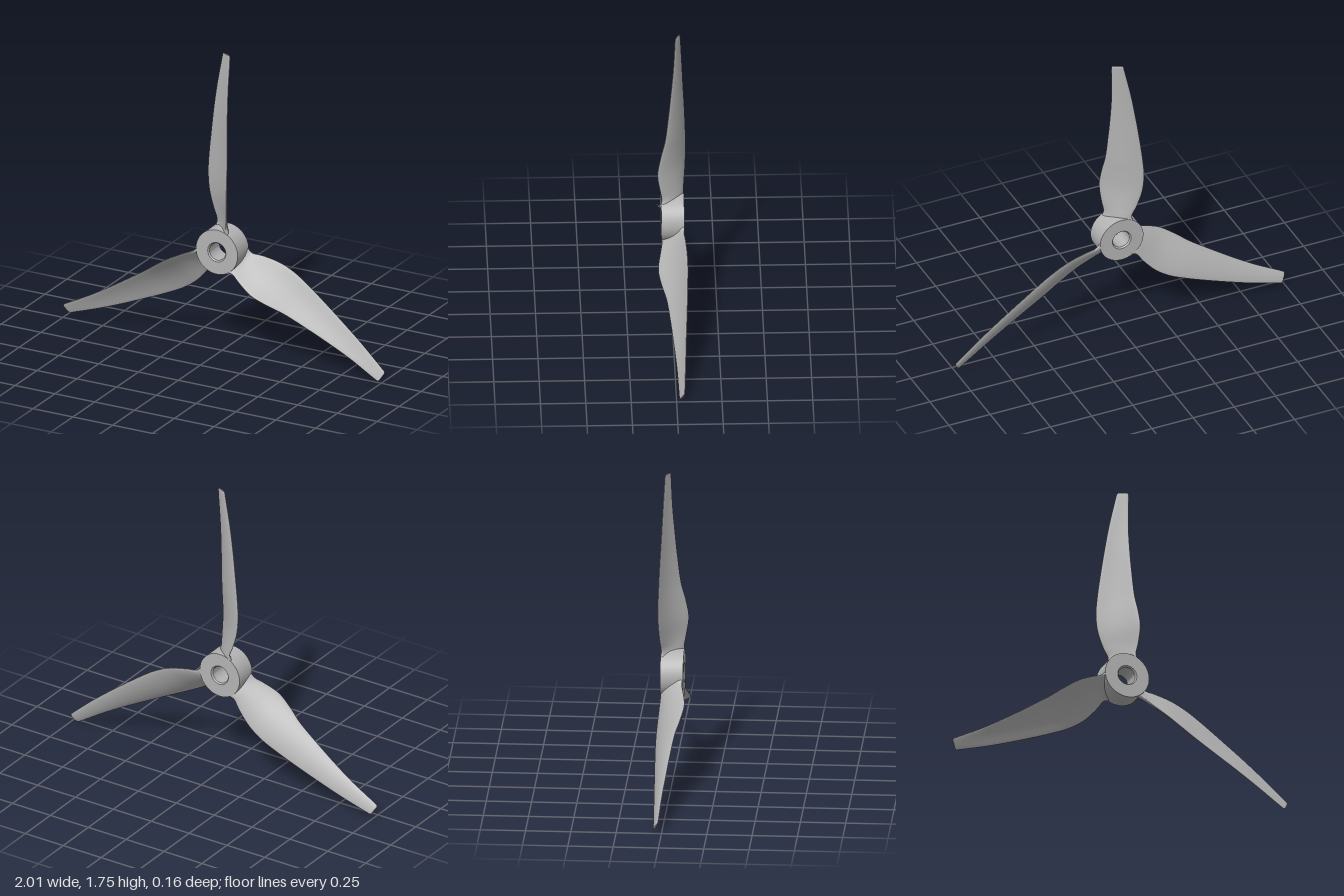
import * as THREE from 'three';
import { toCreasedNormals } from 'three/addons/utils/BufferGeometryUtils.js';

const HUB_Y = 0.607;

// Blade stations: radius, left edge x/z, right edge x/z, thickness, camber
const STATIONS = [
  [0.10, -0.072, -0.064, 0.066, 0.057, 0.045, 0.010],
  [0.14, -0.062, -0.064, 0.055, 0.055, 0.030, 0.012],
  [0.20, -0.088, -0.070, 0.063, 0.066, 0.022, 0.016],
  [0.30, -0.120, -0.077, 0.070, 0.080, 0.019, 0.019],
  [0.40, -0.130, -0.079, 0.064, 0.064, 0.018, 0.018],
  [0.50, -0.124, -0.076, 0.053, 0.039, 0.017, 0.015],
  [0.65, -0.106, -0.070, 0.044, 0.020, 0.015, 0.011],
  [0.80, -0.085, -0.062, 0.037, 0.005, 0.014, 0.008],
  [0.95, -0.060, -0.055, 0.035, -0.008, 0.013, 0.005],
  [1.125, -0.023, -0.046, 0.041, -0.017, 0.012, 0.002],
  [1.139, -0.020, -0.045, 0.040, -0.018, 0.011, 0.002],
  [1.145, -0.013, -0.042, 0.034, -0.021, 0.008, 0.001],
];

// Lofts a cambered, twisted airfoil along the radius (+y)
function bladeGeometry(around = 36, steps = 66) {
  const curve = (f) => new THREE.CatmullRomCurve3(STATIONS.map(f));
  const left = curve((s) => new THREE.Vector3(s[1], s[0], s[2]));
  const right = curve((s) => new THREE.Vector3(s[3], s[0], s[4]));
  const section = curve((s) => new THREE.Vector3(s[5], s[0], s[6]));
  const pos = [], index = [];

  const addRing = (u) => {
    const a = left.getPoint(u), b = right.getPoint(u), c = section.getPoint(u);
    const d = b.clone().sub(a);
    const n = new THREE.Vector3(-d.z, 0, d.x).normalize();
    for (let i = 0; i < around; i++) {
      const t = (i / around) * Math.PI * 2;
      const s = (1 - Math.cos(t)) / 2;
      const half = Math.sign(Math.sin(t)) * Math.abs(Math.sin(t)) ** 0.8 * c.x / 2;
      const p = a.clone().addScaledVector(d, s).addScaledVector(n, half - c.z * 4 * s * (1 - s));
      pos.push(p.x, p.y, p.z);
    }
  };

  for (let j = 0; j <= steps; j++) addRing(j / steps);
  for (let j = 0; j < steps; j++) {
    for (let i = 0; i < around; i++) {
      const k = (i + 1) % around;
      const a = j * around + i, b = j * around + k;
      index.push(a, b, a + around, b, b + around, a + around);
    }
  }
  // Flat tip cap with its own vertices
  const cap = pos.length / 3;
  addRing(1);
  for (let i = 1; i < around - 1; i++) index.push(cap, cap + i, cap + i + 1);

  const geo = new THREE.BufferGeometry();
  geo.setAttribute('position', new THREE.Float32BufferAttribute(pos, 3));
  geo.setIndex(index);
  geo.computeVertexNormals();
  return geo;
}

// Ring-shaped hub with a slightly chamfered bore, axis along z
function hubGeometry() {
  const profile = [
    [0.131, -0.067], [0.131, 0.06], [0.057, 0.06], [0.05, 0.052],
    [0.05, -0.059], [0.057, -0.067], [0.131, -0.067],
  ].map(([r, z]) => new THREE.Vector2(r, z));
  const geo = new THREE.LatheGeometry(profile, 72);
  geo.rotateX(Math.PI / 2);
  return toCreasedNormals(geo, 0.5);
}

export function createModel() {
  const grey = new THREE.MeshStandardMaterial({ color: 0xb4b4b4 });
  grey.name = 'light grey';

  const propeller = new THREE.Group();
  propeller.name = 'propeller';

  const hub = new THREE.Mesh(hubGeometry(), grey);
  hub.name = 'hub';
  hub.position.y = HUB_Y;
  propeller.add(hub);

  // Three identical blades around the hub
  const geo = bladeGeometry();
  ['topBlade', 'rightBlade', 'leftBlade'].forEach((name, i) => {
    const blade = new THREE.Mesh(geo, grey);
    blade.name = name;
    blade.position.y = HUB_Y;
    // the model's left is +x, so the second blade clockwise is its left one
    if (i === 1) blade.rotation.z = (2 * Math.PI) / 3;
    if (i === 2) blade.rotation.z = (-2 * Math.PI) / 3;
    propeller.add(blade);
  });

  return propeller;
}
